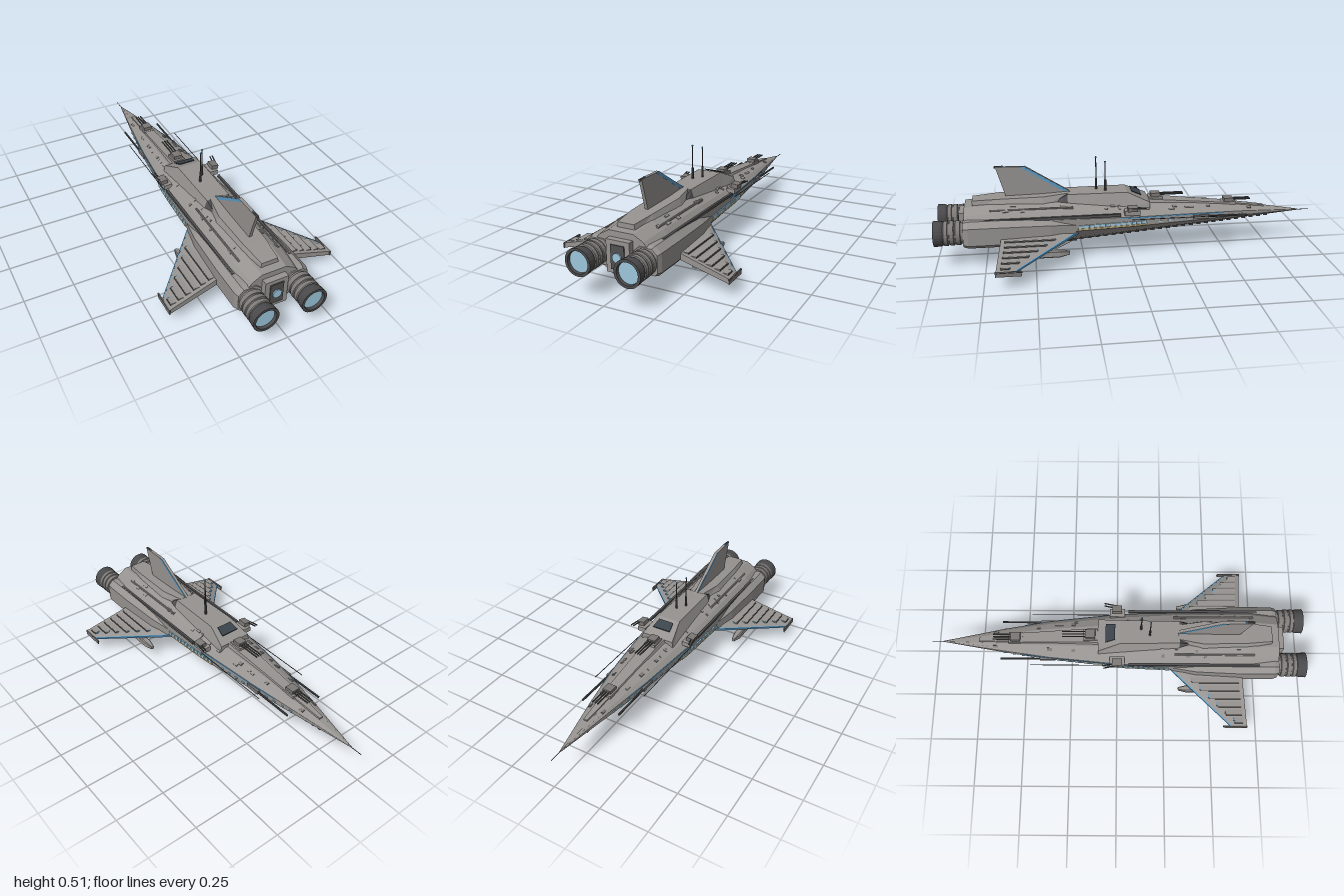
import * as THREE from 'three';

const mat = (name, color, side = THREE.FrontSide) => {
  const m = new THREE.MeshStandardMaterial({ color, flatShading: true, side });
  m.name = name;
  return m;
};

// Hull stations: z, half width, bottom, top
const STATIONS = [
  [-0.94, 0.002, 0.163, 0.168], [-0.6, 0.064, 0.14, 0.218], [-0.36, 0.102, 0.122, 0.243],
  [0, 0.14, 0.095, 0.268], [0.35, 0.155, 0.067, 0.293], [0.7, 0.155, 0.062, 0.297], [0.85, 0.14, 0.07, 0.285],
];
function hullAt(z) {
  let i = 0;
  while (i < STATIONS.length - 2 && z > STATIONS[i + 1][0]) i++;
  const a = STATIONS[i], b = STATIONS[i + 1], k = (z - a[0]) / (b[0] - a[0]);
  const [w, lo, hi] = [1, 2, 3].map(j => a[j] + (b[j] - a[j]) * k);
  return { w, lo, hi, h: hi - lo };
}

// Closed loft through rings of [x, y, z]; turned outward whatever the ring order
function loft(rings) {
  const n = rings[0].length, idx = [], last = (rings.length - 1) * n;
  for (let r = 0; r < rings.length - 1; r++) for (let i = 0; i < n; i++) {
    const a = r * n + i, b = r * n + (i + 1) % n;
    idx.push(a, b, a + n, b, b + n, a + n);
  }
  for (let i = 1; i < n - 1; i++) idx.push(0, i + 1, i, last, last + i, last + i + 1);
  const p = rings.flat(), v = p.map(q => new THREE.Vector3(...q));
  const c = v.reduce((s, q) => s.add(q), new THREE.Vector3()).divideScalar(v.length);
  let vol = 0;
  for (let i = 0; i < idx.length; i += 3) {
    const [a, b, d] = [0, 1, 2].map(k => v[idx[i + k]].clone().sub(c));
    vol += a.dot(b.cross(d));
  }
  if (vol < 0) idx.reverse();
  const g = new THREE.BufferGeometry();
  g.setAttribute('position', new THREE.Float32BufferAttribute(p.flat(), 3));
  g.setIndex(idx);
  const out = g.toNonIndexed();
  out.computeVertexNormals();
  return out;
}

export function createModel() {
  const root = new THREE.Group();
  root.name = 'starship';
  const hull = mat('hull grey', 0x969390), mid = mat('panel grey', 0x7b7876), dark = mat('dark metal', 0x505052);
  const glow = mat('light blue glow', 0x9cc6dc), blue = mat('blue trim', 0x5b9cc8);
  const glass = mat('bridge glass', 0x3c444c), tan = mat('tan stripe', 0xc0ac78);

  const add = (name, geo, m, x = 0, y = 0, z = 0) => {
    const o = new THREE.Mesh(geo, m);
    o.name = name;
    o.position.set(x, y, z);
    root.add(o);
    return o;
  };
  const box = (name, m, w, h, d, x, y, z) => add(name, new THREE.BoxGeometry(w, h, d), m, x, y, z);
  const rod = (name, m, r, z0, z1, x, y) =>
    add(name, new THREE.CylinderGeometry(r, r, z1 - z0, 8).rotateX(Math.PI / 2), m, x, y, (z0 + z1) / 2);
  const both = fn => [1, -1].forEach(fn);
  // Symmetric ring from a half profile
  const mirror = (half, z) => [...half, ...half.slice().reverse().map(([x, y]) => [-x, y])].map(([x, y]) => [x, y, z]);
  // Plate outline in [z, y], given thickness in x
  const plate = (name, m, pts, t) =>
    add(name, loft([-t / 2, t / 2].map(px => pts.map(([z, y]) => [px, y, z]))), m);

  // Main hull and nose needle
  add('hull', loft(STATIONS.map(([z, w, lo, hi]) => {
    const h = hi - lo;
    return mirror([[0.25 * w, lo], [0.7 * w, lo + 0.19 * h], [w, lo + 0.42 * h], [w, lo + 0.72 * h],
      [0.8 * w, lo + 0.87 * h], [0.45 * w, hi]], z);
  })), hull);
  rod('noseNeedle', dark, 0.0018, -1, -0.92, 0, 0.165);

  // Raised foredeck, bridge block with dark rear slope, and rear spine
  const deck = (name, m, rows) => add(name, loft(rows.map(([z, wb, wt, lo, hi]) => mirror([[wb, lo], [wt, hi]], z))), m);
  deck('foredeck', hull, [[-0.74, 0.012, 0.01, 0.18, 0.205], [-0.5, 0.034, 0.026, 0.21, 0.237],
    [-0.1, 0.05, 0.04, 0.25, 0.278]]);
  deck('bridge', hull, [[-0.1, 0.095, 0.088, 0.24, 0.278], [0.015, 0.09, 0.065, 0.25, 0.33],
    [0.325, 0.08, 0.06, 0.27, 0.33]]);
  deck('bridgeRearSlope', dark, [[0.325, 0.08, 0.06, 0.27, 0.33], [0.385, 0.075, 0.052, 0.27, 0.298]]);
  deck('rearSpine', hull, [[0.32, 0.05, 0.04, 0.28, 0.331], [0.45, 0.08, 0.062, 0.28, 0.324],
    [0.68, 0.075, 0.056, 0.28, 0.32], [0.81, 0.05, 0.042, 0.27, 0.312]]);
  add('bridgeWindow', loft([0.003, 0.007].map(up =>
    [[-0.05, 0.302, -0.06], [0.05, 0.302, -0.06], [0.042, 0.323, -0.01], [-0.042, 0.323, -0.01]]
      .map(([x, y, z]) => [x, y + up, z]))), glass);

  // Tail fin with blue side strips behind its leading edge, and ventral fin
  plate('tailFin', hull, [[0.3, 0.325], [0.535, 0.473], [0.685, 0.475], [0.64, 0.32]], 0.016);
  plate('tailFinStrip', blue, [[0.318, 0.334], [0.538, 0.472], [0.562, 0.472], [0.346, 0.334]], 0.018);
  rod('tailFinCap', dark, 0.006, 0.655, 0.692, 0, 0.473);
  add('tailFinLight', new THREE.SphereGeometry(0.005, 8, 6), blue, 0, 0.477, 0.65);
  plate('ventralFin', hull, [[0.25, 0.075], [0.4, 0.002], [0.5, 0], [0.57, 0.068]], 0.01);
  box('ventralFinBase', dark, 0.038, 0.012, 0.3, 0, 0.062, 0.43);

  // Rear plate with centre thruster
  box('sternBlock', hull, 0.12, 0.155, 0.04, 0, 0.178, 0.86);
  box('sternRecess', dark, 0.07, 0.115, 0.012, 0, 0.177, 0.879);
  add('centreThruster', new THREE.CylinderGeometry(0.023, 0.023, 0.006, 20).rotateX(Math.PI / 2), glow, 0, 0.177, 0.888);

  // Engine nacelles and stepped nozzles
  const octagon = [[0.075, 0.108], [0.175, 0.108], [0.19, 0.125], [0.19, 0.215], [0.16, 0.243], [0.09, 0.243], [0.058, 0.215], [0.058, 0.13]];
  const nozzle = [[0.054, 0.82], [0.054, 0.866], [0.062, 0.868], [0.062, 0.89], [0.058, 0.892], [0.058, 0.898], [0.063, 0.9],
    [0.063, 0.92], [0.058, 0.922], [0.058, 0.928], [0.063, 0.93], [0.063, 0.948], [0.058, 0.952]];
  const flare = [[0.058, 0.95], [0.064, 0.965], [0.066, 1], [0.053, 1], [0.05, 0.975]];
  const lathe = pts => new THREE.LatheGeometry(pts.map(([r, z]) => new THREE.Vector2(r, z)), 24).rotateX(Math.PI / 2);
  const nozzleMat = mat('nozzle metal', 0x7f7c7a, THREE.DoubleSide);
  const flareMat = mat('nozzle flare', 0x4a4a4c, THREE.DoubleSide);
  both(s => {
    const ring = (z, k) => octagon.map(([x, y]) => [s * (0.115 + (x - 0.115) * k), 0.176 + (y - 0.176) * k, z]);
    add('nacelle', loft([ring(0.29, 0.5), ring(0.42, 0.84), ring(0.66, 1), ring(0.83, 1), ring(0.855, 0.9)]), hull);
    add('nozzle', lathe(nozzle), nozzleMat, s * 0.125, 0.176);
    add('nozzleFlare', lathe(flare), flareMat, s * 0.125, 0.176);
    add('engineGlow', new THREE.CircleGeometry(0.052, 24), glow, s * 0.125, 0.176, 0.985);
  });

  // Drooped wings with thin blue leading edges, stepped top plates, tip rails and underwing pods
  const lead = x => 0.29 + (x - 0.15) * 1.1, trail = x => 0.665 + (x - 0.15) * 0.09;
  const top = x => 0.163 - (x - 0.15) * 0.25, thick = x => 0.034 - (x - 0.15) * 0.035;
  both(s => {
    const wingRing = x => {
      const y = top(x), t = thick(x), l = lead(x);
      return [[s * x, y - t * 0.65, l], [s * x, y - t * 0.3, l], [s * x, y, l + 0.05], [s * x, y, trail(x)],
        [s * x, y - t, trail(x)], [s * x, y - t, l + 0.05]];
    };
    add('wing', loft([wingRing(0.12), wingRing(0.44)]), hull);
    add('wingLeadingEdge', loft([0.15, 0.44].map(x => {
      const y = top(x), t = thick(x), l = lead(x);
      return [[s * x, y - t * 0.56, l - 0.003], [s * x, y - t * 0.28, l - 0.003], [s * x, y - t * 0.22, l + 0.006], [s * x, y - t * 0.56, l + 0.006]];
    })), blue);
    for (let i = 0; i < 6; i++) {
      const x = 0.205 + i * 0.041, z0 = lead(x) + 0.05, z1 = trail(x) - 0.02;
      box('wingPlate', hull, 0.028, 0.008, z1 - z0, s * x, top(x), (z0 + z1) / 2);
      box('wingPlateShadowGap', dark, 0.004, 0.006, z1 - z0, s * (x + 0.0145), top(x) - 0.0005, (z0 + z1) / 2);
      box('wingPlateLight', blue, 0.02, 0.005, 0.005, s * x, top(x) + 0.0005, z0 - 0.002);
    }
    box('wingTipRail', mid, 0.006, 0.026, 0.125, s * 0.441, 0.079, 0.632);
    rod('wingTipRod', dark, 0.004, 0.565, 0.695, s * 0.441, 0.086);
    box('podPylon', mid, 0.008, 0.045, 0.12, s * 0.235, 0.115, 0.5);
    const pr = (z, r) => [[-r, -0.7 * r], [-0.7 * r, -r], [0.7 * r, -r], [r, -0.7 * r], [r, 0.7 * r], [0.7 * r, r], [-0.7 * r, r], [-r, 0.7 * r]]
      .map(([x, y]) => [s * 0.235 + x, 0.083 + y, z]);
    add('underwingPod', loft([pr(0.33, 0.008), pr(0.38, 0.018), pr(0.58, 0.018), pr(0.62, 0.014)]), hull);
  });

  // Antenna masts with blue tips
  [[-0.016, 0.17, 0.505], [0.016, 0.125, 0.488]].forEach(([x, z, y]) => {
    add('mastBase', new THREE.CylinderGeometry(0.006, 0.006, 0.06, 8), dark, x, 0.357, z);
    add('mast', new THREE.CylinderGeometry(0.0028, 0.0028, y - 0.33, 8), dark, x, (y + 0.33) / 2, z);
    add('mastTip', new THREE.SphereGeometry(0.005, 8, 6), blue, x, y - 0.003, z);
  });

  // Deck turrets with guns
  [[-0.14, 0.285, 0.15], [-0.54, 0.238, 0.12]].forEach(([z, y, len]) => {
    box('turretBase', hull, 0.06, 0.016, 0.075, 0, y - 0.008, z);
    box('turret', mid, 0.046, 0.02, 0.05, 0, y + 0.008, z);
    [-0.014, 0, 0.014].forEach(x => rod('turretBarrel', dark, 0.0038, z - len, z - 0.01, x, y + 0.008));
  });

  // Side sponsons, turrets and long cannons
  both(s => {
    box('sponson', hull, 0.045, 0.025, 0.08, s * 0.135, 0.246, 0);
    box('sideTurret', mid, 0.038, 0.022, 0.05, s * 0.149, 0.27, 0).rotation.z = -s * 0.12;
    [0, 0.014].forEach(dx => {
      rod('sideTurretBarrel', dark, 0.0035, -0.07, 0.005, s * (0.16 + dx), 0.276).rotation.y = -s * 0.2;
    });
    rod('longCannon', dark, 0.002, -0.46, 0, s * 0.143, 0.205);
    rod('cannon', dark, 0.0055, -0.62, -0.36, s * 0.104, 0.19);
    box('cannonMount', mid, 0.022, 0.02, 0.08, s * 0.1, 0.19, -0.37);
    box('shoulderRail', dark, 0.012, 0.014, 0.69, s * 0.15, 0.238, 0.405);
    rod('topPipe', hull, 0.005, 0.3, 0.72, s * 0.105, 0.277);
  });

  // Hull-side stripes, windows, and keel blocks that follow the taper
  const band = (name, m, s, z0, z1, f, h, out) => add(name, loft([0, 1, 2, 3, 4, 5, 6].map(i => {
    const z = z0 + (z1 - z0) * i / 6, a = hullAt(z), y = a.lo + a.h * f;
    return [[s * (a.w - 0.002), y - h], [s * (a.w + out), y - h], [s * (a.w + out), y + h], [s * (a.w - 0.002), y + h]].map(p => [...p, z]);
  })), m);
  both(s => {
    band('blueStripe', blue, s, -0.5, 0.06, 0.69, 0.003, 0.003);
    band('tanStripe', tan, s, -0.08, 0.28, 0.46, 0.004, 0.006);
    for (let i = 0; i < 13; i++) {
      const z = -0.065 + i * 0.0275, a = hullAt(z);
      box('sideWindow', glow, 0.012, 0.016, 0.022, s * a.w, a.lo + a.h * 0.46 + 0.013, z);
    }
    for (let i = 0; i < 10; i++) {
      const z = -0.6 + i * 0.05, a = hullAt(z);
      box('portLight', glow, 0.009, 0.008, 0.016, s * a.w, a.lo + a.h * 0.52, z);
    }
    for (let i = 0; i < 26; i++) {
      const z = -0.75 + i * 0.042, a = hullAt(z);
      box('keelBlock', dark, 0.012, 0.01, 0.02, s * a.w * 0.42, a.lo + a.h * 0.07, z);
    }
  });

  // Scattered panels on the sloping shoulders
  let seed = 7;
  const rnd = () => (seed = (seed * 16807) % 2147483647) / 2147483647;
  for (let i = 0; i < 40; i++) {
    const s = i % 2 ? 1 : -1, z = -0.65 + rnd() * 1.4, k = 0.15 + rnd() * 0.7, a = hullAt(z);
    const o = box('surfacePanel', rnd() < 0.3 ? mid : hull, 0.01 + rnd() * 0.008, 0.008, 0.012 + rnd() * 0.02,
      s * a.w * (0.45 + 0.35 * k), a.hi - 0.13 * a.h * k, z);
    o.rotation.z = -s * Math.atan2(0.13 * a.h, 0.35 * a.w);
  }
  return root;
}
